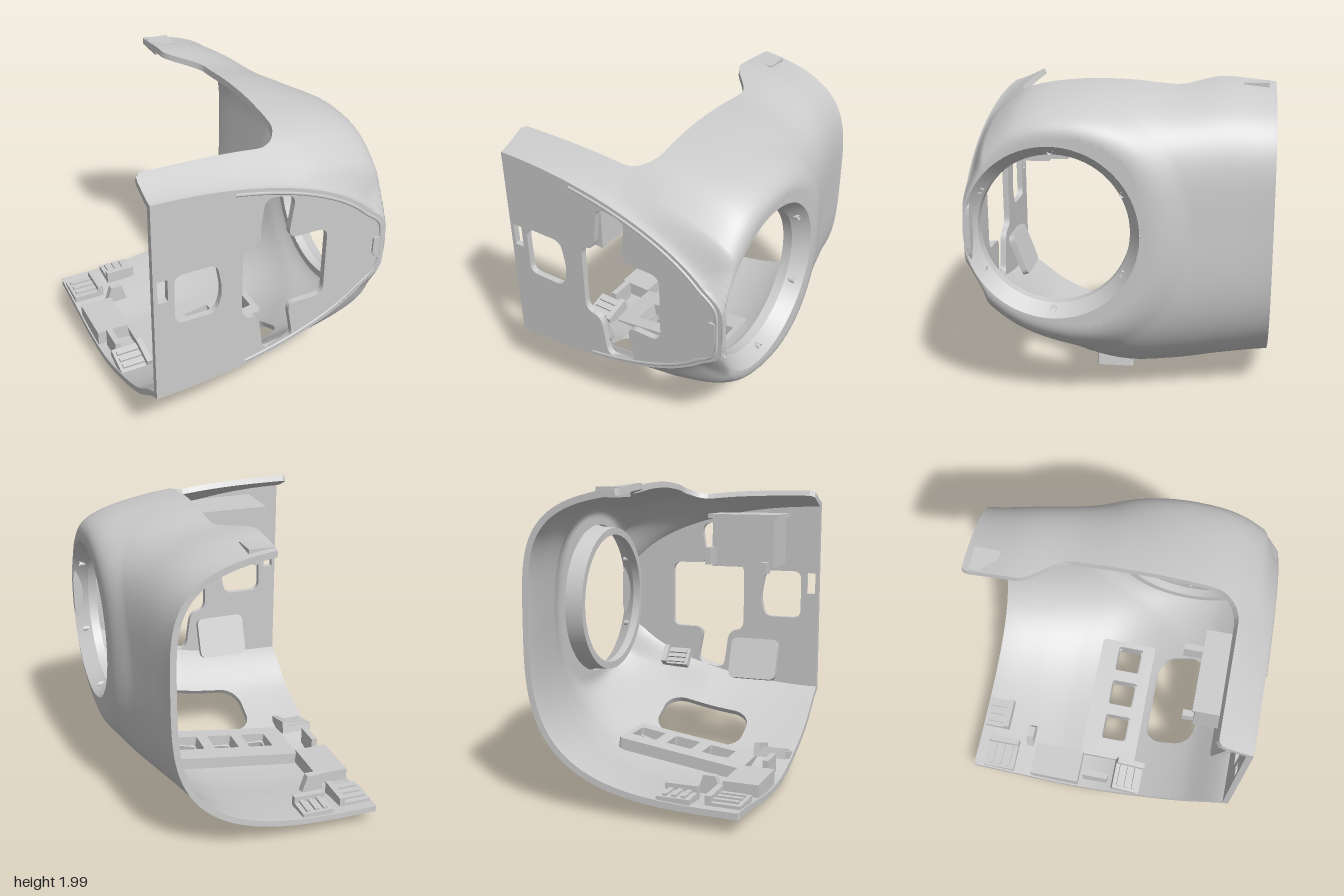
import * as THREE from 'three';

const mat = new THREE.MeshStandardMaterial({ color: 0xcccccc, side: THREE.DoubleSide });
const { smoothstep, lerp, clamp } = THREE.MathUtils;
const LEFT = -0.78, YC = 1.13, ZF = 0.93;       // open side, section centre, front plane
const RING = { z: 0.4, r: 0.535, x: 0.78 };     // round side opening

// Section values along z, evenly spaced from back to front
const along = (vals) => {
  const c = new THREE.SplineCurve(vals.map((v, i) => new THREE.Vector2(i, v)));
  return (z) => c.getPoint(clamp((z + ZF) / (2 * ZF), 0, 1)).y;
};
const topY = along([1.97, 1.995, 1.98, 2.0, 2.0, 1.955, 1.83]);
const botY = along([0.085, 0.055, 0.02, 0.03, 0.115, 0.25, 0.46]);
const sideX = along([0.6, 0.655, 0.73, 0.82, 0.9, 0.9, 0.78]);
const powTop = along([4, 4, 4, 4, 3.7, 3.3, 2]);
const powBot = along([3.2, 3.2, 3.2, 3.2, 2.9, 2.5, 2]);

// Half super-ellipse section, flattened around the round opening
function surf(a, z) {
  const c = Math.cos(a), s = Math.sin(a), up = s > 0;
  const n = up ? powTop(z) : powBot(z);
  const k = (Math.abs(c) ** n + Math.abs(s) ** n) ** (-1 / n);
  let x = Math.min(LEFT + (sideX(z) - LEFT) * k * c, RING.x);
  const y = YC + k * s * (up ? topY(z) - YC : YC - botY(z));
  const r = Math.hypot(y - YC, z - RING.z);
  const near = 1 - smoothstep(r, RING.r, 0.85);
  const fade = 1 - smoothstep(z, 0.8, ZF) * smoothstep(r, RING.r, 0.6);
  x = lerp(x, RING.x, near * fade * (x > 0.2 ? 1 : smoothstep(x, 0, 0.2)));
  return new THREE.Vector3(x, y, z);
}

// Signed distance of a rounded rectangle (negative inside)
function rectSdf(x, z, cx, cz, hx, hz, r) {
  const a = Math.abs(x - cx) - hx + r, b = Math.abs(z - cz) - hz + r;
  return Math.min(Math.max(a, b), 0) + Math.hypot(Math.max(a, 0), Math.max(b, 0)) - r;
}
const ventX = [-0.3, -0.04, 0.22];

// Positive where the shell remains
function keep({ x, y, z }) {
  let f = Math.min(x - LEFT, z + 0.925);
  if (x > 0.3) f = Math.min(f, Math.hypot(y - YC, z - RING.z) - RING.r);
  if (y > YC) {
    const R = 0.17, a = x - lerp(-0.04, 0.14, smoothstep(z, -0.6, -0.3)) + R, b = z - 0.72 + R;
    f = Math.min(f, Math.min(Math.max(a, b), 0) + Math.hypot(Math.max(a, 0), Math.max(b, 0)) - R);
  } else if (y < 0.6) {
    f = Math.min(f, rectSdf(x, z, -0.05, 0.46, 0.32, 0.18, 0.13));
    for (const v of ventX) f = Math.min(f, rectSdf(x, z, v, 0.05, 0.09, 0.09, 0.02));
  }
  return f;
}

// Outer and inner skins, trimmed by keep(), with walls along every cut
function shellGeometry(nu = 130, nv = 100, thick = 0.04) {
  const pos = [], nor = [], e = 1e-3, grid = [];
  for (let j = 0; j <= nv; j++) for (let i = 0; i <= nu; i++) {
    const a = lerp(-1.6, 1.6, i / nu), z = lerp(-0.95, ZF, j / nv);
    const p = surf(a, z);
    const n = surf(a + e, z).sub(surf(a - e, z)).cross(surf(a, z + e).sub(surf(a, z - e))).normalize();
    grid.push({ p, n, q: p.clone().addScaledVector(n, -thick), f: keep(p) });
  }
  const put = (v, n) => { pos.push(v.x, v.y, v.z); nor.push(n.x, n.y, n.z); };
  const mix = (a, b) => {
    const t = a.f / (a.f - b.f);
    const m = { f: 0, cut: true };
    for (const k of ['p', 'q', 'n']) m[k] = a[k].clone().lerp(b[k], t);
    return m;
  };
  const tri = (t) => {
    const poly = [];
    t.forEach((a, i) => {
      const b = t[(i + 1) % 3];
      if (a.f > 0) poly.push(a);
      if (a.f > 0 !== b.f > 0) poly.push(mix(a, b));
    });
    for (let i = 1; i + 1 < poly.length; i++) {
      const [a, b, c] = [poly[0], poly[i], poly[i + 1]];
      for (const v of [a, b, c]) put(v.p, v.n);
      for (const v of [a, c, b]) put(v.q, v.n.clone().negate());
    }
    poly.forEach((a, i) => {
      const b = poly[(i + 1) % poly.length];
      if (!a.cut || !b.cut) return;
      const n = a.p.clone().sub(b.p).cross(a.q.clone().sub(b.p)).normalize();
      for (const v of [b.p, a.p, a.q, b.p, a.q, b.q]) put(v, n);
    });
  };
  for (let j = 0; j < nv; j++) for (let i = 0; i < nu; i++) {
    const k = j * (nu + 1) + i, [a, b, c, d] = [grid[k], grid[k + 1], grid[k + nu + 2], grid[k + nu + 1]];
    tri([a, b, c]); tri([a, c, d]);
  }
  const g = new THREE.BufferGeometry();
  g.setAttribute('position', new THREE.Float32BufferAttribute(pos, 3));
  g.setAttribute('normal', new THREE.Float32BufferAttribute(nor, 3));
  return g;
}

// Closed polygon with rounded corners
function rounded(points, r, Type = THREE.Path) {
  const path = new Type(), P = points.map((p) => new THREE.Vector2(...p)), n = P.length;
  P.forEach((p, i) => {
    const toward = (q) => p.clone().add(q.clone().sub(p).setLength(Math.min(r, q.distanceTo(p) * 0.45)));
    const a = toward(P[(i + n - 1) % n]), b = toward(P[(i + 1) % n]);
    i ? path.lineTo(a.x, a.y) : path.moveTo(a.x, a.y);
    path.quadraticCurveTo(p.x, p.y, b.x, b.y);
  });
  path.closePath();
  return path;
}
const rect = (x0, y0, x1, y1) => [[x0, y0], [x1, y0], [x1, y1], [x0, y1]];
const extrude = (shape, depth) => new THREE.ExtrudeGeometry(shape, { depth, bevelEnabled: false, curveSegments: 8 });

export function createModel() {
  const model = new THREE.Group();
  const add = (name, geo, parent = model) => {
    const m = new THREE.Mesh(geo, mat);
    m.name = name;
    parent.add(m);
    return m;
  };
  const box = (name, x0, x1, y0, y1, z0, z1, parent) => {
    const m = add(name, new THREE.BoxGeometry(x1 - x0, y1 - y0, z1 - z0), parent);
    m.position.set((x0 + x1) / 2, (y0 + y1) / 2, (z0 + z1) / 2);
    return m;
  };
  add('shell', shellGeometry());

  // Front plate with its cutouts
  const edge = [];
  for (let i = 0; i <= 60; i++) {
    const p = surf(lerp(-Math.PI / 2, Math.PI / 2, i / 60), ZF);
    edge.push(new THREE.Vector2(p.x, p.y));
  }
  const plate = new THREE.Shape(edge);
  plate.holes.push(
    rounded([[-0.06, 0.57], [0.15, 0.61], [0.1, 0.88], [0.35, 0.88], [0.35, 1.37], [0.08, 1.37],
      [0.12, 1.66], [-0.08, 1.69], [-0.12, 1.38], [-0.215, 1.36], [-0.215, 0.88], [-0.1, 0.86]], 0.07),
    rounded([[-0.65, 0.99], [-0.38, 0.99], [-0.345, 1.13], [-0.38, 1.33], [-0.65, 1.33]], 0.06),
    rounded(rect(-0.755, 1.17, -0.69, 1.32), 0.004));
  add('frontPlate', extrude(plate, 0.04)).position.z = ZF - 0.04;

  // Raised line following the plate edge, with a small tab at its tip
  const line = [];
  for (let i = 0; i <= 40; i++) {
    const p = surf(lerp(-1.17, 1.23, i / 40), ZF);
    line.push(new THREE.Vector3(LEFT + (p.x - LEFT) * 0.975, YC + (p.y - YC) * 0.955, ZF));
  }
  add('plateRidge', new THREE.TubeGeometry(new THREE.CatmullRomCurve3(line), 100, 0.011, 6));
  const tab = rounded([[0.735, 1.05], [0.735, 1.2], [0.69, 1.2], [0.69, 1.09], [0.715, 1.05]], 0.008, THREE.Shape);
  add('ridgeTab', extrude(tab, 0.012)).position.z = ZF;

  // Conical seat of the round side opening with screw sleeves
  const seat = new THREE.Group();
  seat.name = 'sideRing';
  seat.position.set(0, YC, RING.z);
  seat.rotation.z = -Math.PI / 2;
  model.add(seat);
  const prof = [[0.535, 0.78], [0.468, 0.68], [0.465, 0.62], [0.515, 0.62], [0.525, 0.75]];
  prof.slice(1).forEach((b, i) => add('ringSeat',
    new THREE.LatheGeometry([prof[i], b].map((p) => new THREE.Vector2(...p)), 72), seat));
  for (let i = 0; i < 6; i++) {
    const a = (i * Math.PI) / 3, s = add('screwSleeve', new THREE.CylinderGeometry(0.018, 0.018, 0.05, 12, 1, true), seat);
    s.position.set(Math.cos(a) * 0.495, 0.715, Math.sin(a) * 0.495);
  }

  // Floor vents: an inner block and three short ducts through the floor
  const vents = new THREE.Group();
  vents.name = 'vents';
  vents.position.set(-0.04, 0.04, 0);
  vents.rotation.z = 0.14;
  model.add(vents);
  const hole = (x) => rounded(rect(x - 0.09, -0.14, x + 0.09, 0.04), 0.015);
  const block = rounded(rect(-0.49, -0.23, 0.39, 0.17), 0.03, THREE.Shape);
  block.holes.push(...ventX.map((x) => hole(x + 0.04)));
  const blockMesh = add('ventBlock', extrude(block, 0.08), vents);
  blockMesh.rotation.x = -Math.PI / 2;
  blockMesh.position.y = 0.09;
  ventX.forEach((v) => {
    const duct = rounded(rect(v - 0.065, -0.19, v + 0.145, 0.05), 0.015, THREE.Shape);
    duct.holes.push(hole(v + 0.04));
    const d = add('ventDuct', extrude(duct, 0.12), vents);
    d.rotation.x = -Math.PI / 2;
    d.position.y = 0;
  });

  // Housing behind the plate
  box('housing', -0.53, -0.08, 1.38, 1.72, 0.57, 0.89);
  box('housingTop', -0.56, -0.05, 1.72, 1.75, 0.55, 0.89);
  box('housingTab', -0.11, -0.07, 1.4, 1.52, 0.44, 0.6);
  box('housingTab', -0.5, -0.46, 1.34, 1.42, 0.5, 0.6);

  // Ribbed snap clips: a base with raised bars
  const clip = (name, x, y, z, w, d, turn = 0, pitch = 0) => {
    const g = new THREE.Group();
    g.name = name;
    g.position.set(x, y, z);
    g.rotation.set(pitch, turn, 0);
    model.add(g);
    box('clipBase', -w / 2, w / 2, -0.03, 0.02, -d / 2, d / 2, g);
    box('clipLip', w / 2 - 0.04, w / 2, 0.02, 0.06, -d / 2, d / 2, g);
    for (let i = -1; i <= 1; i++) box('clipRib', -w * 0.4, w * 0.3, 0.02, 0.035, i * d * 0.28 - 0.015, i * d * 0.28 + 0.015, g);
  };
  clip('rimClip', -0.66, 0.12, -0.74, 0.22, 0.22);
  clip('rimClip', -0.66, 0.16, 0.2, 0.22, 0.2, 0, 0.25);
  clip('backClip', -0.37, 0.14, -0.82, 0.18, 0.21, -Math.PI / 2);
  clip('plateClip', 0.3, 0.64, 0.84, 0.2, 0.14, 0, -0.9);
  box('rimBlock', -0.77, -0.54, 0.05, 0.16, -0.5, -0.15);
  box('rimPost', -0.72, -0.68, 0.06, 0.2, -0.12, 0.06);
  box('topClip', -0.03, 0.12, 1.9, 1.96, -0.88, -0.72);

  // Wedge post on the floor and the sloping panel behind the plate
  const wedge = new THREE.Shape([[-0.09, 0], [0.09, 0], [0.04, 0.16], [-0.04, 0.16]].map((p) => new THREE.Vector2(...p)));
  add('wedgePost', extrude(wedge, 0.05)).position.set(-0.48, 0.05, -0.58);
  const panel = rounded(rect(-0.5, -0.15, -0.14, 0.15), 0.05, THREE.Shape);
  const panelMesh = add('innerPanel', extrude(panel, 0.04));
  panelMesh.position.set(0, 0.68, 0.8);
  panelMesh.rotation.x = 0.35;
  return model;
}
